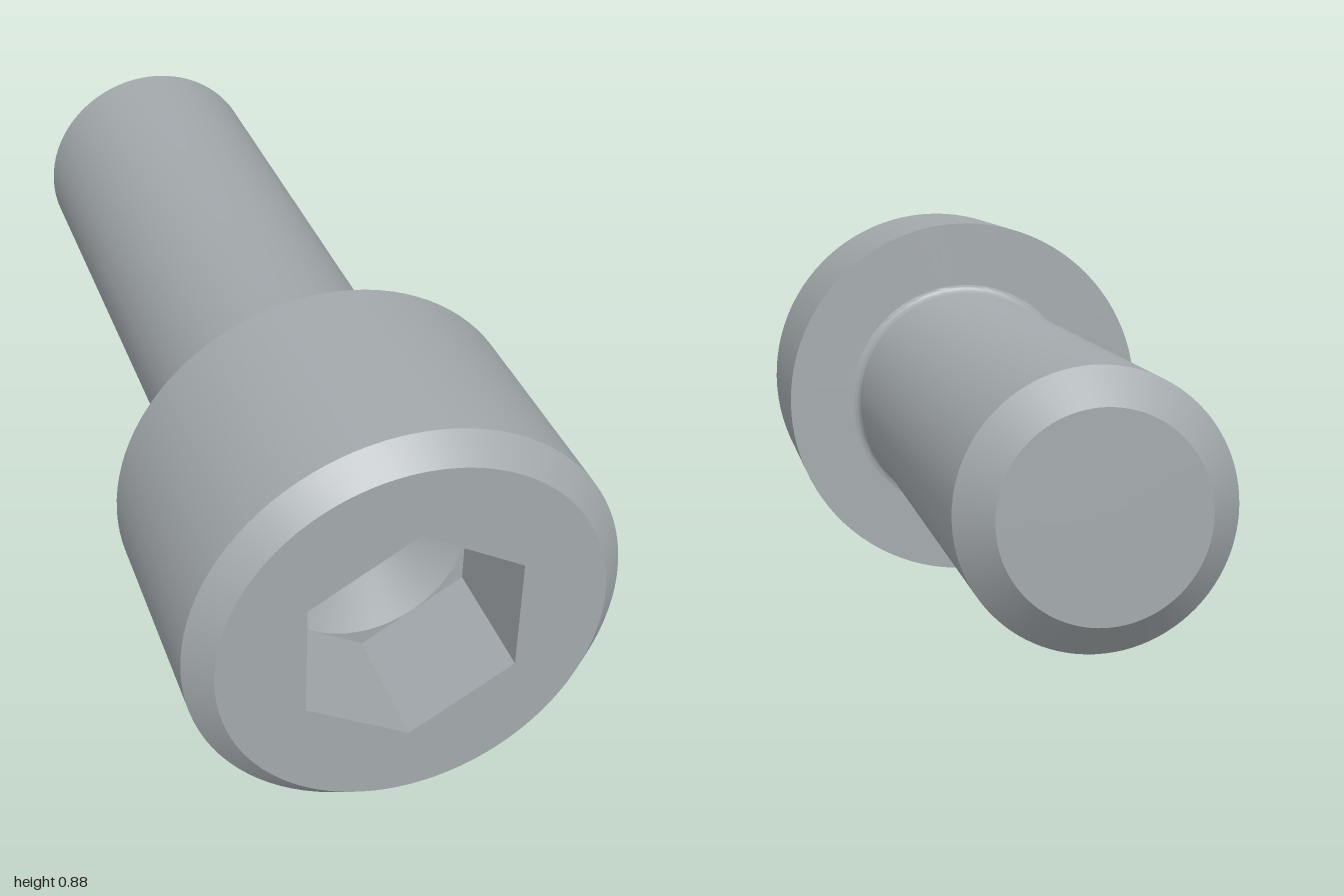
import * as THREE from 'three';
import { toCreasedNormals } from 'three/addons/utils/BufferGeometryUtils.js';

const HEAD_R = 0.44, FACE_R = 0.39, SHANK_R = 0.267, TIP_R = 0.2;
const HEAD_BACK = 0.465, FILLET = 0.02;
const HEX_FLAT = 0.213, HEX_R = HEX_FLAT / Math.cos(Math.PI / 6);
const SOCKET_Z = 0.735, CONE_DEPTH = 0.123, SEGMENTS = 96;

export function createModel() {
  const steel = new THREE.MeshStandardMaterial({ color: 0xa3a9ac });
  steel.name = 'steel grey';
  const screw = new THREE.Group();
  screw.name = 'socketHeadScrew';

  const add = (name, geometry) => {
    const mesh = new THREE.Mesh(geometry, steel);
    mesh.name = name;
    mesh.position.y = HEAD_R;
    screw.add(mesh);
  };
  // Profile of [radius, z] pairs turned about the z axis
  const turn = (name, profile, segments = SEGMENTS) => {
    const points = profile.map(([r, z]) => new THREE.Vector2(r, z));
    const geometry = new THREE.LatheGeometry(points, segments).rotateX(Math.PI / 2);
    add(name, toCreasedNormals(geometry, 0.5));
  };
  const hexPoints = () => Array.from({ length: 6 }, (_, i) => {
    const a = Math.PI / 2 + i * Math.PI / 3;
    return new THREE.Vector2(HEX_R * Math.cos(a), HEX_R * Math.sin(a));
  });
  const circle = (path, r) => path.absarc(0, 0, r, 0, Math.PI * 2, false);

  // Shank with chamfered tip and a small fillet under the head
  const fillet = Array.from({ length: 9 }, (_, i) => {
    const a = (i / 8) * Math.PI / 2;
    return [SHANK_R + FILLET * (1 - Math.cos(a)), HEAD_BACK - FILLET * (1 - Math.sin(a))];
  });
  turn('shank', [[0, -1], [TIP_R, -1], [SHANK_R, -0.935], ...fillet]);

  // Cylindrical head with chamfered front rim
  turn('head', [[SHANK_R + FILLET, HEAD_BACK], [HEAD_R, HEAD_BACK], [HEAD_R, 0.95], [FACE_R, 1]]);

  // Front face, pierced by the hexagon
  const face = circle(new THREE.Shape(), FACE_R);
  face.holes.push(new THREE.Path(hexPoints()));
  add('headFace', new THREE.ShapeGeometry(face, SEGMENTS).translate(0, 0, 1));

  // Hexagonal socket walls, floor ledge and drilled cone
  turn('socketWalls', [[HEX_R, 1], [HEX_R, SOCKET_Z]], 6);
  const ledge = new THREE.Shape(hexPoints());
  ledge.holes.push(circle(new THREE.Path(), HEX_FLAT - 0.001));
  add('socketLedge', new THREE.ShapeGeometry(ledge, SEGMENTS).translate(0, 0, SOCKET_Z));
  turn('socketCone', [[HEX_FLAT - 0.001, SOCKET_Z], [0, SOCKET_Z - CONE_DEPTH]]);

  return screw;
}
